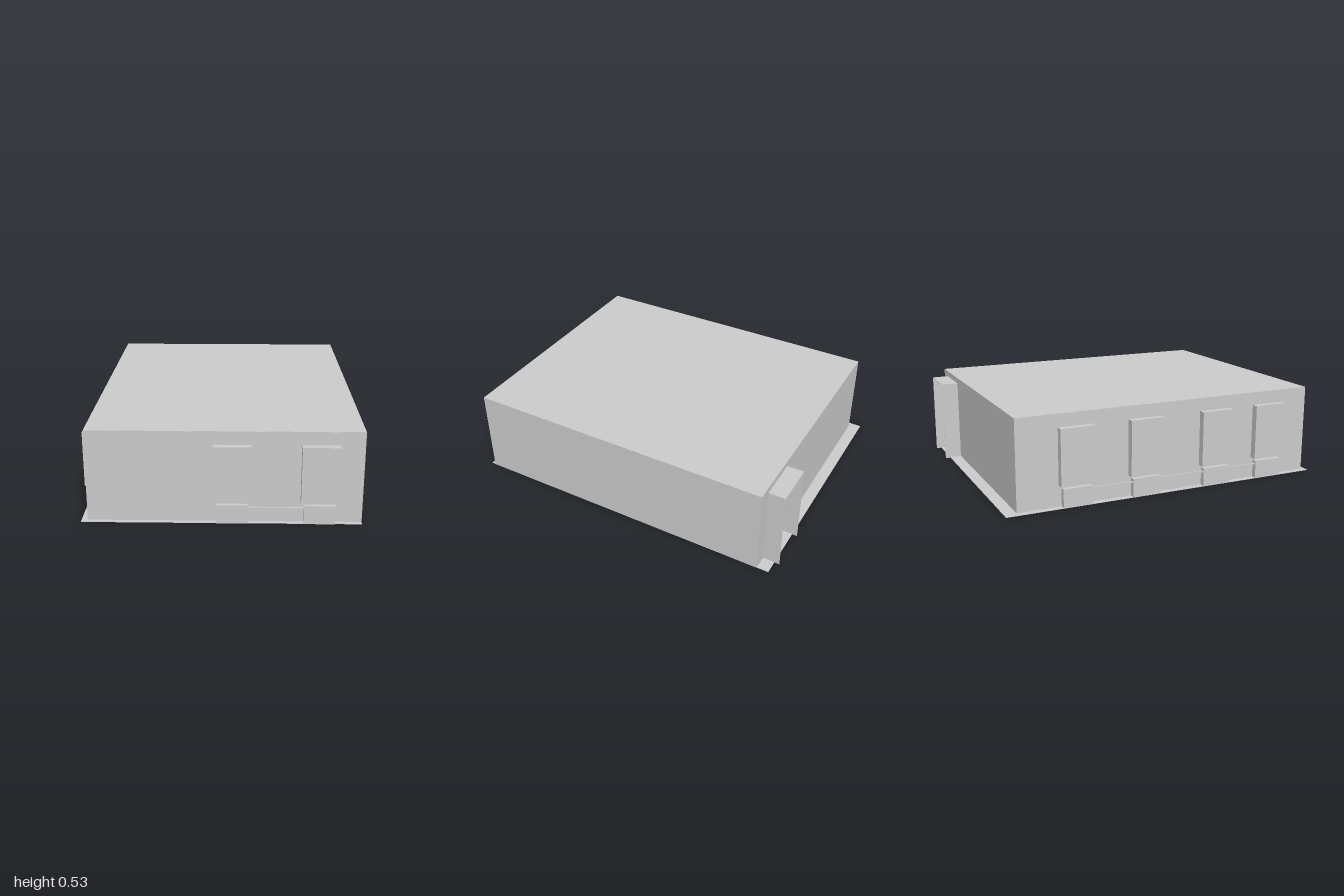
import * as THREE from 'three';

export function createModel() {
  const model = new THREE.Group();
  const mat = new THREE.MeshStandardMaterial({ color: 0xcccccc, flatShading: true, side: THREE.DoubleSide });

  const X0 = -0.73, X1 = 0.77, Z0 = -0.9, Z1 = 0.96, H = 0.525;

  const add = (name, geometry) => {
    const mesh = new THREE.Mesh(geometry, mat);
    mesh.name = name;
    model.add(mesh);
    return mesh;
  };
  // Box given by its extents; a zero extent in one axis makes a thin sheet
  const block = (name, x0, x1, y0, y1, z0, z1) => {
    const t = 0.002;
    const mesh = add(name, new THREE.BoxGeometry(Math.max(x1 - x0, t), Math.max(y1 - y0, t), Math.max(z1 - z0, t)));
    mesh.position.set((x0 + x1) / 2, (y0 + y1) / 2, (z0 + z1) / 2);
  };

  // Floor sheet, slightly wider than the walls
  block('floor', -0.765, X1, 0, 0.003, -0.97, 0.985);

  // Hollow room
  block('roof', X0, X1, H, H, Z0, Z1);
  block('frontWall', X0, X1, 0, H, Z1, Z1);
  block('rightWall', X0, X0, 0, H, Z0, Z1);
  block('leftWall', X1, X1, 0, H, Z0, Z1);

  // Back wall with a doorway cut from its lower edge
  const D0 = 0.43, D1 = 0.685, DH = 0.49;
  const wall = new THREE.Shape([
    [X0, 0], [D0, 0], [D0, DH], [D1, DH], [D1, 0], [X1, 0], [X1, H], [X0, H],
  ].map(([x, y]) => new THREE.Vector2(x, y)));
  add('backWall', new THREE.ShapeGeometry(wall)).position.z = Z0;

  // Open door surround
  block('doorJambRight', D0, D0, 0, DH, -1, Z0);
  block('doorJambLeft', D1, D1, 0, DH, -1, Z0);
  block('doorLintel', D0, D1, DH, DH, -1, Z0);

  // Window boxes with a radiator box below each
  const W = 0.103, R = 0.087;
  const frontCentres = [0.062, 0.537];
  const sideCentres = [-0.555, -0.135, 0.323, 0.685];
  for (const c of frontCentres) {
    block('frontWindow', c - W, c + W, 0.125, 0.45, Z1, 1);
    block('frontRadiator', c - R, c + R, 0, 0.108, Z1, 0.988);
  }
  for (const c of sideCentres) {
    block('sideWindow', -0.772, X0, 0.125, 0.45, c - W, c + W);
    block('sideRadiator', -0.762, X0, 0, 0.108, c - R, c + R);
  }

  // Pipes linking neighbouring radiators
  block('frontPipe', frontCentres[0] + R, frontCentres[1] - R, 0.085, 0.094, 0.971, 0.98);
  for (let i = 0; i < sideCentres.length - 1; i++) {
    block('sidePipe', -0.755, -0.746, 0.085, 0.094, sideCentres[i] + R, sideCentres[i + 1] - R);
  }
  return model;
}
